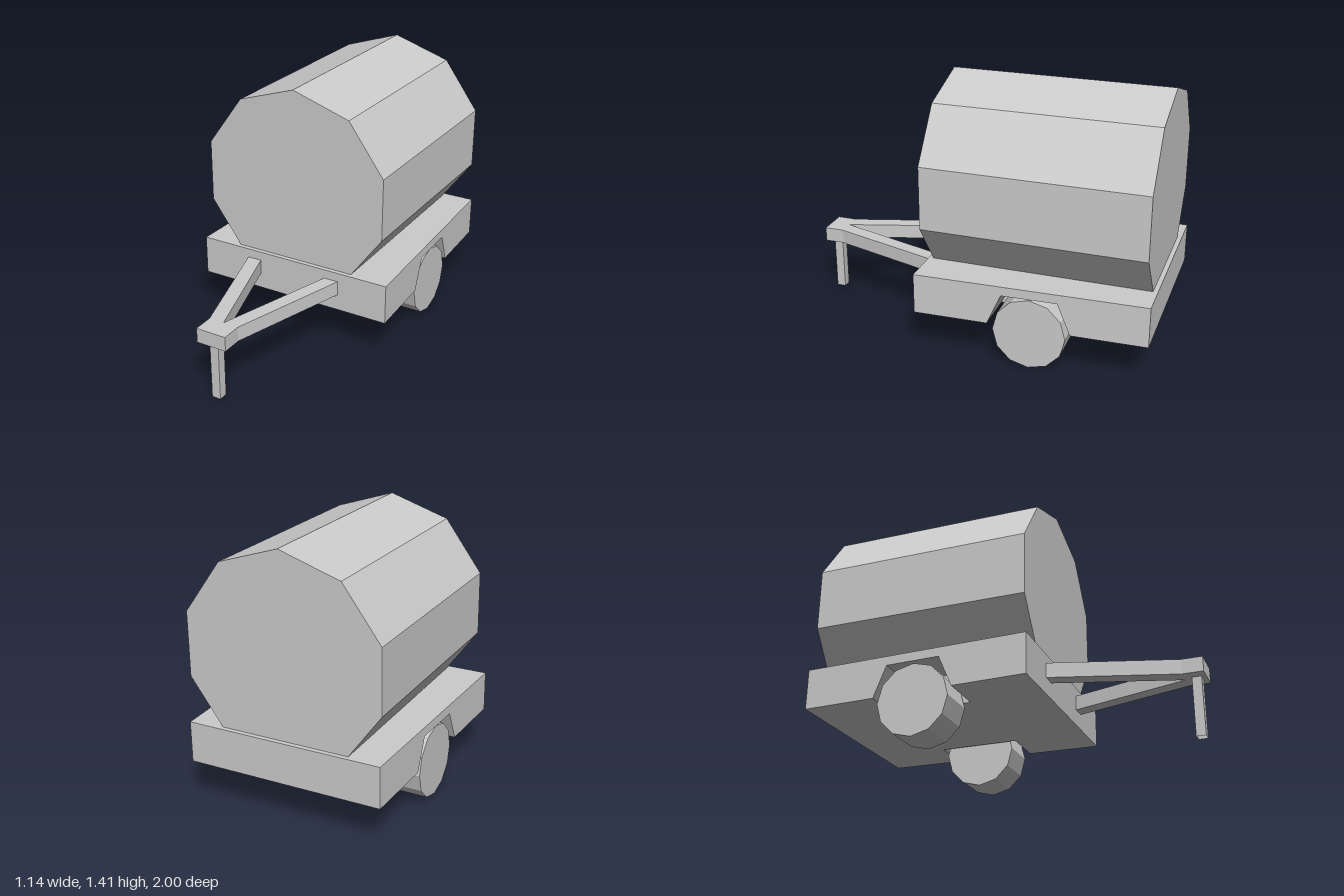
import * as THREE from 'three';

const material = new THREE.MeshStandardMaterial({ color: 0xcccccc, flatShading: true });
const openMaterial = new THREE.MeshStandardMaterial({ color: 0xcccccc, flatShading: true, side: THREE.DoubleSide });

function shapeFrom(points) {
  return new THREE.Shape(points.map(([x, y]) => new THREE.Vector2(x, y)));
}

// Extrudes a (z, y) side profile across the model from x0 to x1
function extrudeAcross(points, x0, x1) {
  const geometry = new THREE.ExtrudeGeometry(shapeFrom(points), { depth: x1 - x0, bevelEnabled: false });
  return geometry.rotateY(-Math.PI / 2).translate(x1, 0, 0);
}

// Narrows the outer walls of the bed towards the back
function taper(geometry) {
  const p = geometry.attributes.position;
  for (let i = 0; i < p.count; i++) {
    const x = p.getX(i);
    if (Math.abs(x) < 0.5) continue;
    const width = THREE.MathUtils.mapLinear(p.getZ(i), -1, 0.24, 0.53, 0.57);
    p.setX(i, Math.sign(x) * width);
  }
  geometry.computeVertexNormals();
  return geometry;
}

export function createModel() {
  const model = new THREE.Group();
  const add = (name, geometry, mat = material) => {
    const mesh = new THREE.Mesh(geometry, mat);
    mesh.name = name;
    model.add(mesh);
    return mesh;
  };

  // Ten-sided tank lying along z, its underside sunk into the bed
  const tank = new THREE.CylinderGeometry(0.553, 0.553, 1.19, 10);
  tank.rotateX(-Math.PI / 2);
  add('tank', tank).position.set(0, 0.862, -0.38);

  // Bed: a plain centre and two sides with wheel arches cut out
  const front = 0.24, back = -1, bottom = 0.23, top = 0.45, inner = 0.315;
  const centre = [[back, bottom], [front, bottom], [front, top], [back, top]];
  const side = [
    [back, bottom], [-0.6, bottom], [-0.53, 0.4], [-0.235, 0.4], [-0.16, bottom],
    [front, bottom], [front, top], [back, top],
  ];
  add('bedCentre', extrudeAcross(centre, -inner, inner));
  add('bedLeft', taper(extrudeAcross(side, inner, 0.57)));
  add('bedRight', taper(extrudeAcross(side, -0.57, -inner)));

  // Twelve-sided wheels
  const wheel = new THREE.CylinderGeometry(0.195, 0.195, 0.21, 12).rotateZ(Math.PI / 2);
  for (const [name, s] of [['wheelLeft', 1], ['wheelRight', -1]]) {
    add(name, wheel).position.set(s * 0.435, 0.195, -0.38);
  }

  // V-shaped drawbar, drawn in plan as (x, z) and laid flat
  const half = [[0.085, 1], [0.085, 0.89], [0.285, 0.235], [0.203, 0.235]];
  const mirrored = half.map(([x, z]) => [-x, z]).reverse();
  const plan = [...half, [0, 0.89], ...mirrored];
  const drawbar = new THREE.ExtrudeGeometry(shapeFrom(plan), { depth: 0.08, bevelEnabled: false });
  add('drawbar', drawbar.rotateX(Math.PI / 2)).position.y = 0.4;

  // Square hollow stand under the coupling
  const stand = new THREE.CylinderGeometry(0.0354, 0.0354, 0.315, 4, 1, true).rotateY(Math.PI / 4);
  add('stand', stand, openMaterial).position.set(0, 0.1625, 0.952);

  return model;
}
